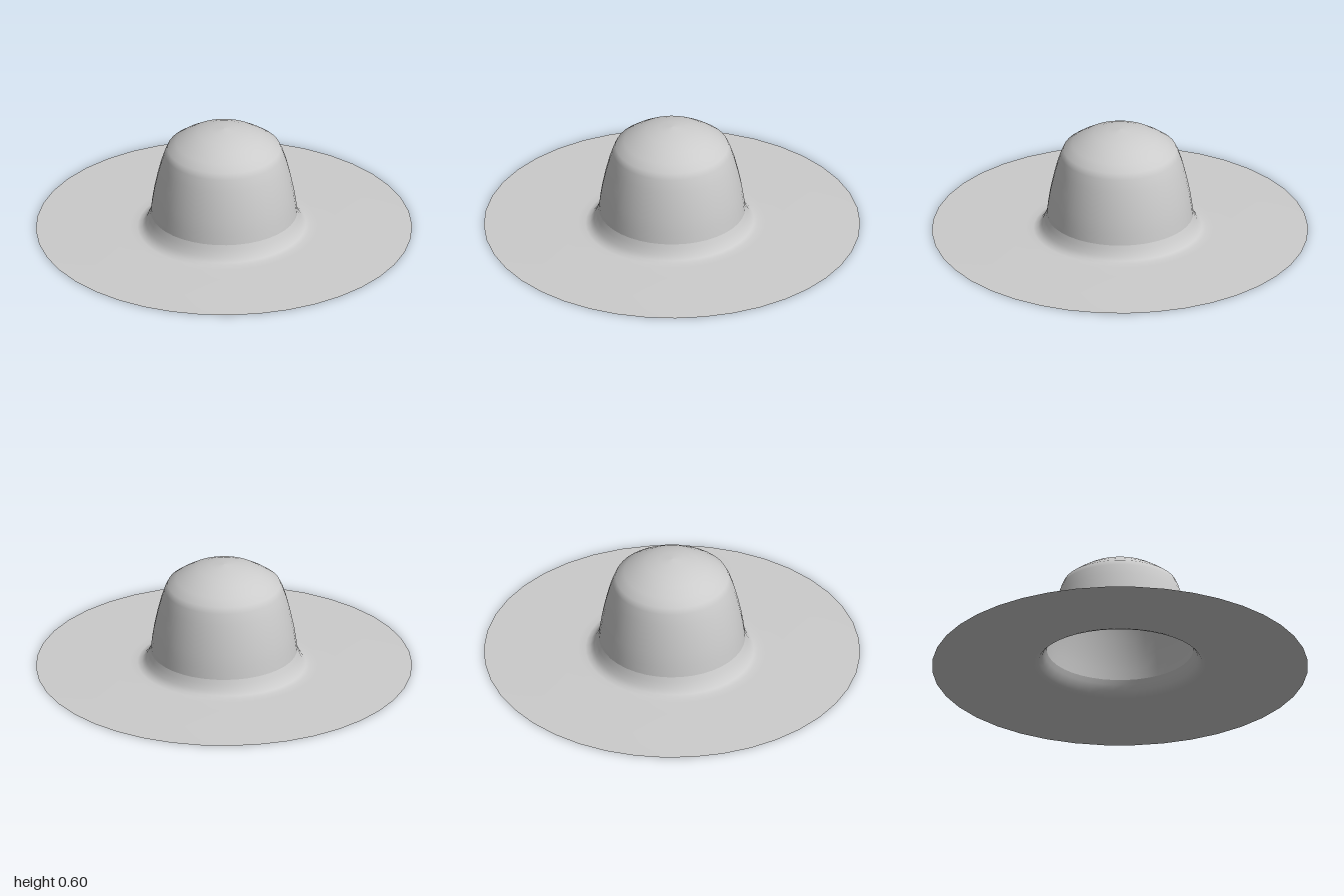
import * as THREE from 'three';

const SEGMENTS = 40;

// Smooth surface of revolution from [radius, height] pairs
function lathe(name, profile, material) {
  const points = profile.map(([r, y]) => new THREE.Vector2(r, y));
  const mesh = new THREE.Mesh(new THREE.LatheGeometry(points, SEGMENTS), material);
  mesh.name = name;
  return mesh;
}

export function createModel() {
  const hat = new THREE.Group();
  hat.name = 'hat';
  const felt = new THREE.MeshStandardMaterial({ color: 0xcccccc, side: THREE.DoubleSide });

  // Hollow crown with tapering wall and shallow domed top
  hat.add(lathe('crown', [
    [0.39, 0.1], [0.383, 0.16], [0.372, 0.23], [0.355, 0.31], [0.335, 0.39],
    [0.315, 0.45], [0.3, 0.482], [0.255, 0.515], [0.2, 0.549], [0.14, 0.573],
    [0.07, 0.59], [0, 0.596],
  ], felt));

  // Wide brim, flaring out from the foot of the crown
  const brim = lathe('brim', [
    [1, 0.001], [0.9, 0.003], [0.8, 0.006], [0.7, 0.009], [0.6, 0.011], [0.5, 0.013],
    [0.46, 0.015], [0.435, 0.022], [0.415, 0.045], [0.4, 0.075], [0.39, 0.1],
  ], felt);

  // Gentle waves in the brim, fading at the rim and at the crown
  const pos = brim.geometry.attributes.position;
  for (let i = 0; i < pos.count; i++) {
    const x = pos.getX(i), z = pos.getZ(i);
    const r = Math.hypot(x, z), a = Math.atan2(z, x);
    const fade = Math.min(1, (r - 0.39) / 0.05) * Math.min(1, (1 - r) / 0.4);
    const wave = 0.007 * Math.cos(2 * a) * (r - 0.4) - 0.008 * Math.sin(a) + 0.004 * Math.cos(a);
    pos.setY(i, Math.max(0, pos.getY(i) + fade * wave));
  }
  // Seat the rim on the ground
  brim.geometry.computeBoundingBox();
  const low = brim.geometry.boundingBox.min.y;
  hat.children.forEach((part) => part.geometry.translate(0, -low, 0));
  hat.add(brim);
  brim.geometry.translate(0, -low, 0);

  return hat;
}
